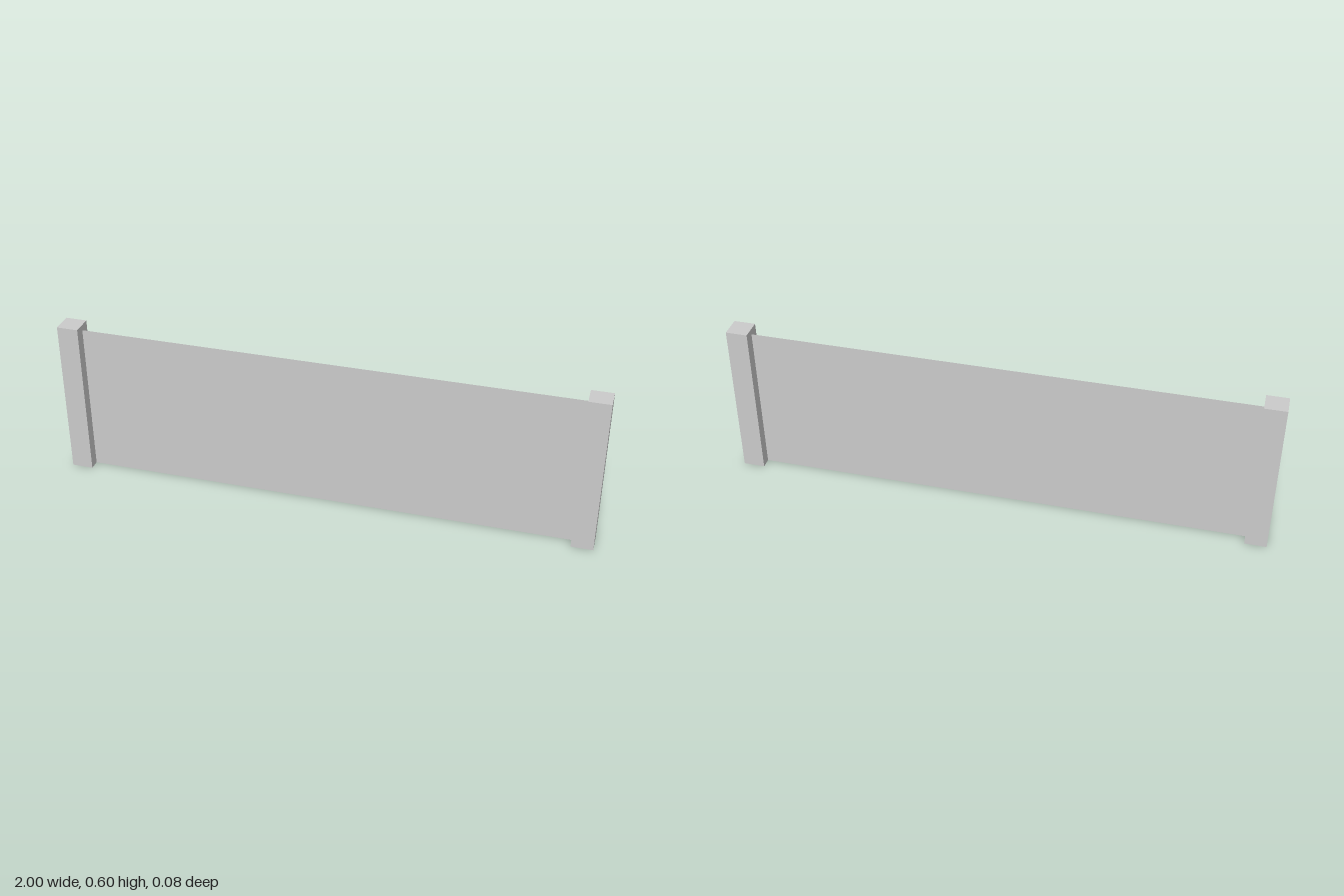
import * as THREE from 'three';

const POST = 0.08, POST_HEIGHT = 0.6, PANEL_HEIGHT = 0.58;

export function createModel() {
  const group = new THREE.Group();
  const postMaterial = new THREE.MeshStandardMaterial({ color: 0xcccccc, flatShading: true });
  const panelMaterial = new THREE.MeshStandardMaterial({ color: 0xcccccc, side: THREE.DoubleSide });

  // Square end posts, mirrored left and right
  const postGeometry = new THREE.BoxGeometry(POST, POST_HEIGHT, POST);
  for (const side of [-1, 1]) {
    const post = new THREE.Mesh(postGeometry, postMaterial);
    post.name = side > 0 ? 'leftPost' : 'rightPost';
    post.position.set(side * (1 - POST / 2), POST_HEIGHT / 2, 0);
    group.add(post);
  }

  // Thin sheet stretched between the post centres
  const panel = new THREE.Mesh(new THREE.PlaneGeometry(2 - POST, PANEL_HEIGHT), panelMaterial);
  panel.name = 'panel';
  panel.position.y = PANEL_HEIGHT / 2;
  group.add(panel);

  return group;
}
